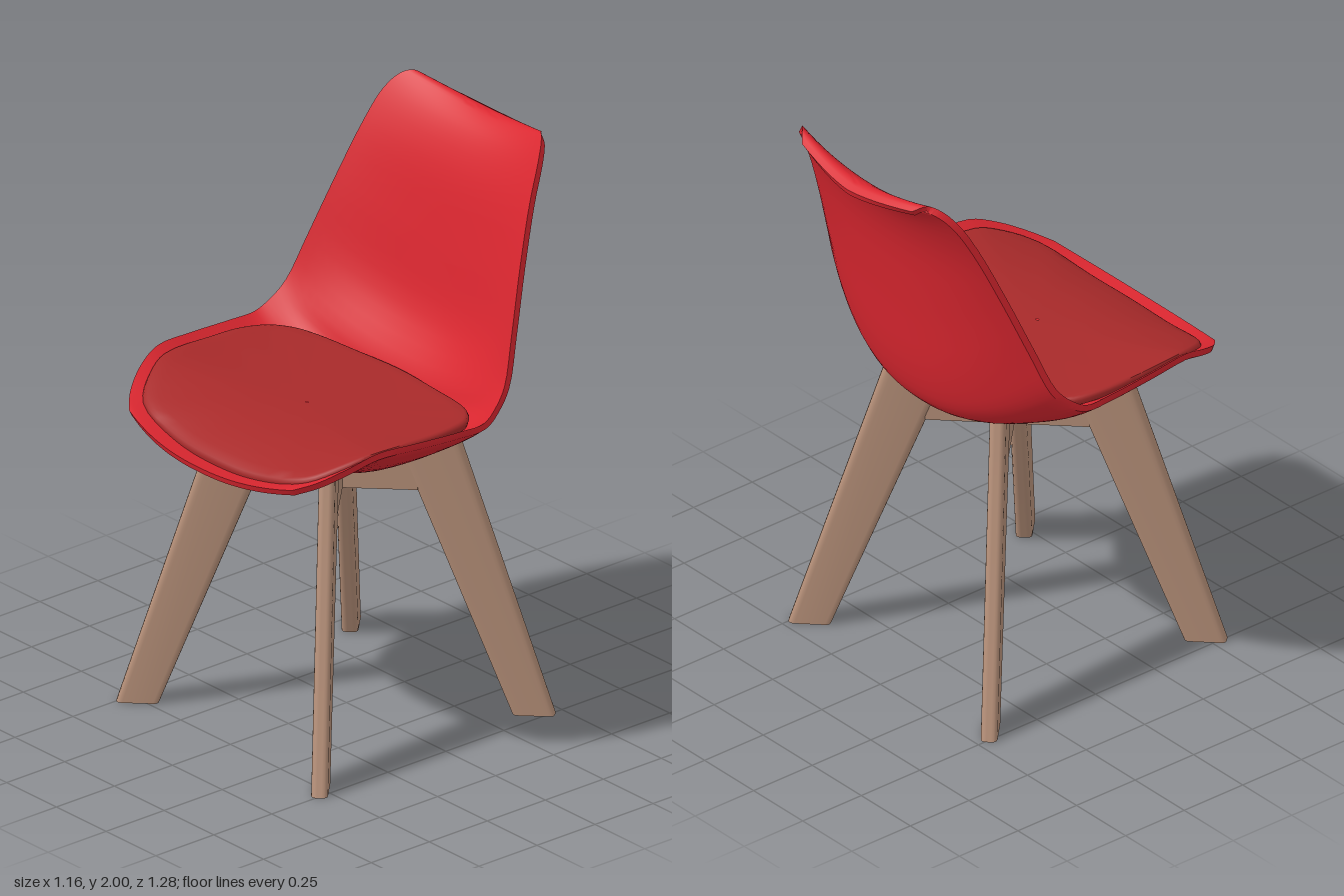
import * as THREE from 'three';
import { toCreasedNormals } from 'three/addons/utils/BufferGeometryUtils.js';

const red = new THREE.MeshStandardMaterial({ color: 0xd9262f });
red.name = 'shell red';
const darkRed = new THREE.MeshStandardMaterial({ color: 0xa82a2a });
darkRed.name = 'cushion dark red';
const wood = new THREE.MeshStandardMaterial({ color: 0xb58f78 });
wood.name = 'wood';

const V = (x, y, z) => new THREE.Vector3(x, y, z);

function mesh(name, geometry, material) {
  const m = new THREE.Mesh(geometry, material);
  m.name = name;
  return m;
}

function build(points, index, crease) {
  const g = new THREE.BufferGeometry();
  g.setAttribute('position', new THREE.Float32BufferAttribute(points.flatMap((p) => [p.x, p.y, p.z]), 3));
  g.setIndex(index);
  return toCreasedNormals(g, crease);
}

// Stations from the front lip to the top lip:
// rim x, y, z | inner centre y, z | outer centre y, z
const stations = [
  [0.41, 1.085, 0.585, 1.04, 0.637, 1.02, 0.632],
  [0.47, 1.115, 0.53, 1.03, 0.56, 1.005, 0.55],
  [0.525, 1.16, 0.44, 1.02, 0.45, 0.99, 0.45],
  [0.555, 1.195, 0.34, 1.0, 0.33, 0.975, 0.32],
  [0.57, 1.19, 0.18, 0.98, 0.18, 0.925, 0.14],
  [0.577, 1.18, 0.0, 0.98, 0.02, 0.925, -0.02],
  [0.577, 1.18, -0.1, 1.0, -0.1, 0.95, -0.13],
  [0.565, 1.215, -0.16, 1.05, -0.2, 0.985, -0.27],
  [0.55, 1.27, -0.21, 1.14, -0.235, 1.03, -0.335],
  [0.515, 1.42, -0.27, 1.3, -0.335, 1.15, -0.38],
  [0.465, 1.63, -0.35, 1.55, -0.395, 1.45, -0.425],
  [0.42, 1.82, -0.43, 1.78, -0.455, 1.72, -0.475],
  [0.39, 1.93, -0.49, 1.9, -0.515, 1.86, -0.53],
  [0.355, 1.985, -0.535, 1.95, -0.565, 1.925, -0.58],
  [0.32, 2.0, -0.565, 1.965, -0.6, 1.94, -0.605],
  [0.28, 1.975, -0.6, 1.945, -0.64, 1.925, -0.635],
];

// Moulded shell: each row is a closed loop, inner face then outer face
function shellGeometry() {
  const curve = (pick) => new THREE.CatmullRomCurve3(stations.map(pick));
  const rimCurve = curve((s) => V(s[0], s[1], s[2]));
  const inner = curve((s) => V(0, s[3], s[4]));
  const outer = curve((s) => V(0, s[5], s[6]));
  const rows = 60, n = 28, loop = n * 2 + 2, pts = [], idx = [];
  for (let i = 0; i <= rows; i++) {
    const t = i / rows;
    const rim = rimCurve.getPoint(t), tan = rimCurve.getTangent(t);
    const back = V(0, tan.z, -tan.y).normalize().multiplyScalar(0.024).add(rim);
    const power = 2.2 - 0.7 * THREE.MathUtils.smoothstep(t, 0.75, 1);
    const row = (centre, edge, dir) => {
      for (let j = 0; j <= n; j++) {
        const s = dir * (2 * j / n - 1);
        const p = centre.clone().lerp(edge, Math.abs(s) ** power);
        p.x = edge.x * s;
        pts.push(p);
      }
    };
    row(inner.getPoint(t), rim, 1);
    row(outer.getPoint(t), back, -1);
  }
  for (let i = 0; i < rows; i++) {
    for (let j = 0; j < loop; j++) {
      const a = i * loop + j, b = i * loop + (j + 1) % loop;
      idx.push(a, b, a + loop, b, b + loop, a + loop);
    }
  }
  // Close the front edge and the top edge
  const last = rows * loop;
  for (let j = 0; j < n; j++) {
    const a = j, b = j + 1, c = loop - 1 - j, d = c - 1;
    idx.push(a, c, b, b, c, d);
    idx.push(last + a, last + b, last + c, last + b, last + d, last + c);
  }
  return build(pts, idx, 0.9);
}

// Seat cushion: outline rings shrinking towards a shallow dished centre
function cushionGeometry() {
  const half = [
    [0, 1.14, -0.23], [0.2, 1.143, -0.212], [0.36, 1.15, -0.187], [0.44, 1.16, -0.15],
    [0.5, 1.167, -0.09], [0.53, 1.175, 0.01], [0.535, 1.178, 0.12], [0.525, 1.182, 0.34],
    [0.49, 1.155, 0.43], [0.41, 1.108, 0.525], [0.2, 1.065, 0.567], [0, 1.058, 0.577],
  ].map((p) => V(...p));
  const mirrored = half.slice(1, -1).reverse().map((p) => V(-p.x, p.y, p.z));
  const outline = new THREE.CatmullRomCurve3([...half, ...mirrored], true, 'centripetal');
  const centre = V(0, 1.135, 0.17), n = 88;
  // Ring scale and drop below the top surface
  const rings = [[0.99, 0.032], [1, 0.014], [0.99, 0.003], [0.97, 0], [0.9, 0], [0.8, 0],
    [0.65, 0], [0.5, 0], [0.3, 0], [0.01, 0]];
  const pts = [], idx = [];
  rings.forEach(([k, drop], r) => {
    for (let j = 0; j < n; j++) {
      const e = outline.getPoint(j / n);
      const p = centre.clone().lerp(e, k);
      p.y = THREE.MathUtils.lerp(centre.y, e.y, k ** 2.5) - drop;
      pts.push(p);
      if (r === rings.length - 1) continue;
      const a = r * n + j, b = r * n + (j + 1) % n;
      idx.push(a, a + n, b, b, a + n, b + n);
    }
  });
  return build(pts, idx, 1.0);
}

// Leg: rounded plank section, splayed outward and tapered towards the foot
function legGeometry() {
  const h = 0.0275, r = 0.02, w = 0.14;
  const s = new THREE.Shape();
  s.moveTo(r, -h);
  s.lineTo(w - r, -h);
  s.quadraticCurveTo(w, -h, w, -h + r);
  s.lineTo(w, h - r);
  s.quadraticCurveTo(w, h, w - r, h);
  s.lineTo(r, h);
  s.quadraticCurveTo(0, h, 0, h - r);
  s.lineTo(0, -h + r);
  s.quadraticCurveTo(0, -h, r, -h);
  const height = 1.06;
  const g = new THREE.ExtrudeGeometry(s, { depth: height, bevelEnabled: false, curveSegments: 4 });
  g.rotateX(-Math.PI / 2);
  const pos = g.attributes.position;
  for (let i = 0; i < pos.count; i++) {
    const t = pos.getY(i) / height;
    const rIn = THREE.MathUtils.lerp(0.58, 0.165, t);
    const rOut = THREE.MathUtils.lerp(0.72, 0.385, t);
    pos.setX(i, THREE.MathUtils.lerp(rIn, rOut, pos.getX(i) / w));
  }
  return toCreasedNormals(g, 0.7);
}

export function createModel() {
  const chair = new THREE.Group();
  chair.name = 'chair';
  chair.add(mesh('shell', shellGeometry(), red));
  chair.add(mesh('cushion', cushionGeometry(), darkRed));

  // Diagonal base: four legs joined by two crossed beams
  const base = new THREE.Group();
  base.name = 'base';
  base.position.z = 0.045;
  const legGeo = legGeometry();
  ['backLeftLeg', 'backRightLeg', 'frontRightLeg', 'frontLeftLeg'].forEach((name, i) => {
    const leg = mesh(name, legGeo, wood);
    leg.rotation.y = Math.PI / 4 + i * Math.PI / 2;
    base.add(leg);
  });
  const beamGeo = new THREE.BoxGeometry(0.54, 0.15, 0.046);
  for (const side of [1, -1]) {
    const beam = mesh(side > 0 ? 'crossBeamA' : 'crossBeamB', beamGeo, wood);
    beam.position.y = 0.875;
    beam.rotation.y = side * Math.PI / 4;
    base.add(beam);
  }
  chair.add(base);
  return chair;
}
